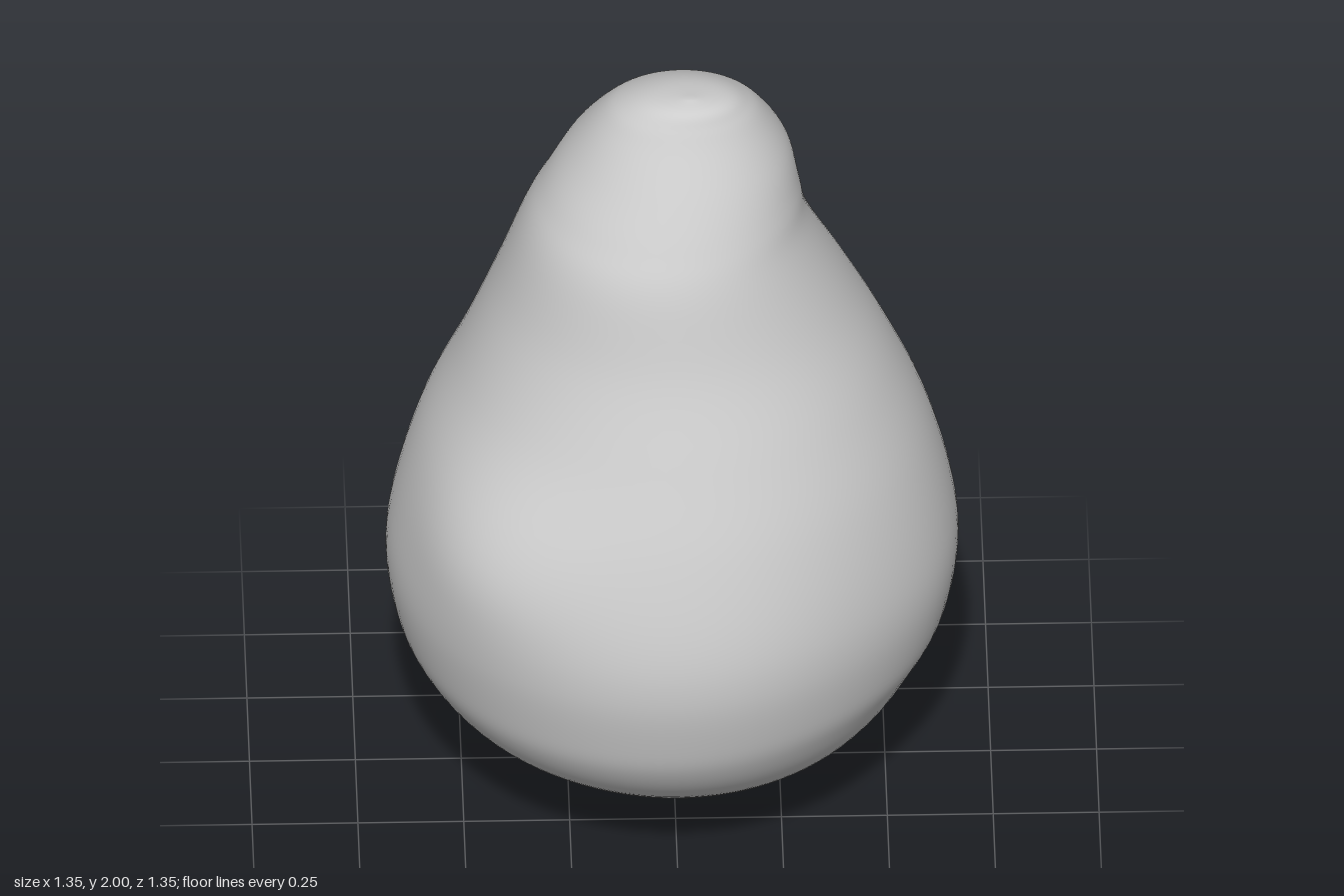
import * as THREE from 'three';
import { mergeVertices } from 'three/addons/utils/BufferGeometryUtils.js';

// Cross-sections from the underside dimple to the tip: y, xMin, xMax, zMin, zMax
const SECTIONS = [
  [0.05, 0, 0, 0, 0],
  [0.03, -0.08, 0.08, -0.08, 0.08],
  [0.015, -0.17, 0.17, -0.17, 0.17],
  [0.05, -0.24, 0.25, -0.25, 0.23],
  [0.1, -0.32, 0.32, -0.33, 0.31],
  [0.2, -0.45, 0.46, -0.46, 0.44],
  [0.3, -0.55, 0.54, -0.56, 0.55],
  [0.4, -0.62, 0.6, -0.63, 0.62],
  [0.5, -0.66, 0.65, -0.66, 0.655],
  [0.65, -0.68, 0.675, -0.675, 0.68],
  [0.8, -0.66, 0.66, -0.66, 0.665],
  [1.0, -0.6, 0.605, -0.6, 0.6],
  [1.2, -0.51, 0.52, -0.51, 0.51],
  [1.4, -0.43, 0.42, -0.42, 0.42],
  [1.6, -0.36, 0.325, -0.33, 0.36],
  [1.7, -0.31, 0.3, -0.285, 0.31],
  [1.8, -0.25, 0.275, -0.25, 0.25],
  [1.9, -0.18, 0.22, -0.16, 0.185],
  [1.95, -0.13, 0.18, -0.09, 0.155],
  [1.985, -0.06, 0.13, -0.01, 0.13],
  [2.0, 0.04, 0.04, 0.085, 0.085],
];

// Soft swellings and hollows: angle, height, vertical spread, strength, sharpness
const BUMPS = [
  [Math.PI * 0.25, 0.93, 0.2, 0.08, 12],
  [Math.PI * 0.75, 0.65, 0.35, -0.03, 8],
  [Math.PI * 1.75, 0.65, 0.35, -0.03, 8],
  [Math.PI * 1.25, 1.6, 0.15, -0.06, 8],
];

function bumpScale(angle, y) {
  let scale = 1;
  for (const [a, y0, spread, strength, sharpness] of BUMPS) {
    const facing = Math.max(0, Math.cos(angle - a)) ** sharpness;
    scale += strength * facing * Math.exp(-(((y - y0) / spread) ** 2));
  }
  return scale;
}

// Sphere whose rings are moved onto the smoothly interpolated cross-sections
function pearGeometry() {
  const geometry = new THREE.SphereGeometry(1, 96, 120);
  const { position, uv } = geometry.attributes;
  const last = SECTIONS.length - 1;
  const spline = new THREE.CubicInterpolant(SECTIONS.map((_, i) => i), SECTIONS.flat(), 5, new Array(5));

  for (let i = 0; i < position.count; i++) {
    const angle = uv.getX(i) * Math.PI * 2;
    const t = THREE.MathUtils.clamp(uv.getY(i) * last, 0, last);
    const [y, x0, x1, z0, z1] = spline.evaluate(t);
    const scale = bumpScale(angle, y);
    const x = (x0 + x1) / 2 - Math.cos(angle) * scale * (x1 - x0) / 2;
    const z = (z0 + z1) / 2 + Math.sin(angle) * scale * (z1 - z0) / 2;
    // The base leans slightly, so its back rim sits lowest
    const lean = 0.06 * z * Math.exp(-((y / 0.15) ** 2));
    position.setXYZ(i, x, Math.max(0, y + lean), z);
  }

  // Weld the seam so the shading is continuous
  geometry.deleteAttribute('uv');
  geometry.deleteAttribute('normal');
  const welded = mergeVertices(geometry, 1e-5);
  welded.computeVertexNormals();
  return welded;
}

export function createModel() {
  const group = new THREE.Group();
  group.name = 'pear';
  const body = new THREE.Mesh(pearGeometry(), new THREE.MeshStandardMaterial({ color: 0xcccccc }));
  body.name = 'pearBody';
  group.add(body);
  return group;
}
